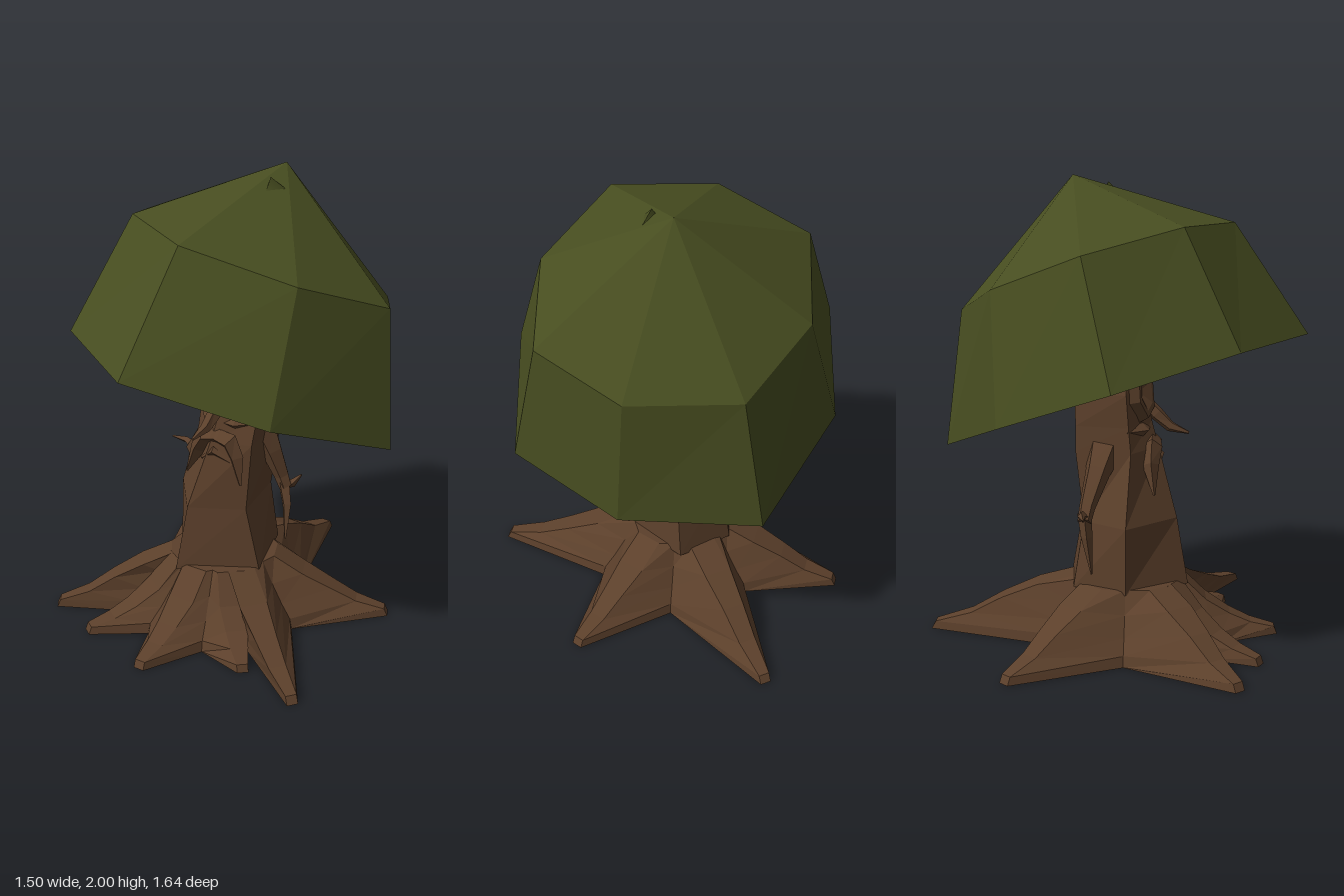
import * as THREE from 'three';

const bark = new THREE.MeshStandardMaterial({ color: 0x5c402b, side: THREE.DoubleSide });
bark.name = 'bark';
const leaf = new THREE.MeshStandardMaterial({ color: 0x474d20, side: THREE.DoubleSide });
leaf.name = 'leaf green';

const V = (x, y, z) => new THREE.Vector3(x, y, z);

// Faceted skin over a series of point rings; 'cap' closes the last ring
function loft(name, rings, material, cap = true) {
  const pos = [];
  const tri = (a, b, c) => pos.push(...a.toArray(), ...b.toArray(), ...c.toArray());
  const n = rings[0].length;
  for (let r = 0; r + 1 < rings.length; r++) {
    for (let i = 0; i < n; i++) {
      const j = (i + 1) % n;
      const [a, b, c, d] = [rings[r][i], rings[r][j], rings[r + 1][j], rings[r + 1][i]];
      tri(a, b, c);
      if (c.distanceTo(d) > 1e-5) tri(a, c, d);
    }
  }
  const last = rings[rings.length - 1];
  if (cap) for (let i = 1; i + 1 < n; i++) tri(last[0], last[i], last[i + 1]);
  const g = new THREE.BufferGeometry();
  g.setAttribute('position', new THREE.Float32BufferAttribute(pos, 3));
  g.computeVertexNormals();
  const mesh = new THREE.Mesh(g, material);
  mesh.name = name;
  return mesh;
}

// Tapered limb along points [x, y, z, radius]
function limb(name, path, sides = 5) {
  const p = path.map(q => V(q[0], q[1], q[2]));
  const rings = p.map((c, k) => {
    const t = p[Math.min(k + 1, p.length - 1)].clone().sub(p[Math.max(k - 1, 0)]).normalize();
    const ref = Math.abs(t.z) > 0.8 ? V(1, 0, 0) : V(0, 0, 1);
    const u = ref.cross(t).normalize();
    const v = t.clone().cross(u);
    return Array.from({ length: sides }, (_, i) => {
      const a = (i / sides) * Math.PI * 2;
      return c.clone().addScaledVector(u, Math.cos(a) * path[k][3]).addScaledVector(v, Math.sin(a) * path[k][3]);
    });
  });
  return loft(name, rings, bark);
}

// Star-shaped hollow root base: ridges run to the tips, valleys drop steeply between them
function rootBase() {
  const cx = -0.04, cz = 0.06, r0 = 0.235;
  // tip x, tip z, sag of the ridge; in order around the trunk
  const tips = [[-0.03, 0.72, 0.36], [0.35, 0.5, 0.45], [0.64, 0.575, 0.25], [0.64, -0.245, 0.2],
    [0, -0.82, 0], [-0.6, -0.44, 0.1], [-0.65, 0.515, 0.05], [-0.39, 0.62, 0.4]]
    .map(([x, z, sag]) => ({ a: Math.atan2(x - cx, z - cz), len: Math.hypot(x - cx, z - cz), sag }));
  // share of the way out, ridge height, ridge half width
  const steps = [[-1, 0.28, 0.02], [0, 0.28, 0.06], [0.25, 0.235, 0.062], [0.5, 0.165, 0.048],
    [0.72, 0.085, 0.038], [0.97, 0.035, 0.024], [1, 0, 0.024]];
  const rings = steps.map(([t, y, w]) => tips.flatMap((tip, i) => {
    const next = tips[(i + 1) % tips.length];
    const gap = (next.a - tip.a + Math.PI * 4) % (Math.PI * 2);
    const out = Math.max(t, 0);
    const r = Math.max(0.08, r0 + (tip.len - r0) * t);
    const ridgeY = y * (1 - tip.sag * Math.sin(out * Math.PI));
    const at = (a, radius, height, s) => V(
      cx + Math.sin(a) * radius + Math.cos(a) * s, height, cz + Math.cos(a) * radius - Math.sin(a) * s);
    const valley = gap < 0.8 ? 0.45 : 0.4;
    const vr = Math.max(0.08, r0 - 0.01 + (valley - r0) * Math.min(1, t * 1.3));
    return [at(tip.a, r, ridgeY, -w), at(tip.a, r, ridgeY, w), at(tip.a + gap / 2, vr, 0.28 * Math.pow(1 - out, 1.4), 0)];
  }));
  return loft('roots', rings.reverse(), bark, false);
}

// Angular eye socket: raised rim with a sunken centre, folded back to either side of the face
function eye(cx, cy, m) {
  const outline = [[0, 0.115], [-0.04, 0.07], [-0.05, -0.03], [-0.01, -0.1], [0.035, -0.065], [0.045, 0.05]];
  const ring = (s, z) => outline.map(([x, y]) => {
    const px = cx + m * x * s;
    return V(px, cy + y * s, z - Math.abs(px - 0.015) * 0.6 - y * s * 0.12);
  });
  return loft('eyeSocket', [ring(1.35, 0.14), ring(1.1, 0.19), ring(0.8, 0.19), ring(0.25, 0.165)], bark);
}

export function createModel() {
  const model = new THREE.Group();
  model.name = 'tree';
  const toV = ring => ring.map(p => V(...p));

  // Canopy: crooked open dome with eight sides
  const rim = [[0, 1.34, 0.82], [0.5, 1.16, 0.545], [0.75, 0.95, 0.03], [0.5, 0.845, -0.43],
    [0, 0.845, -0.73], [-0.5, 1.04, -0.46], [-0.75, 1.235, 0], [-0.5, 1.35, 0.5]];
  const shoulder = [[0.06, 1.805, 0.505], [0.47, 1.66, 0.31], [0.67, 1.505, -0.07], [0.47, 1.415, -0.44],
    [0.06, 1.43, -0.66], [-0.33, 1.57, -0.49], [-0.54, 1.73, -0.12], [-0.33, 1.82, 0.28]];
  const apex = Array.from({ length: 8 }, () => V(0.115, 2, -0.18));
  model.add(loft('canopy', [toV(rim), toV(shoulder), apex], leaf, false));

  // Small leaf tip poking through the crown
  const tip = new THREE.Mesh(new THREE.ConeGeometry(0.1, 0.1, 3), leaf);
  tip.name = 'leafTip';
  tip.position.set(0.14, 1.92, -0.03);
  tip.rotation.z = 0.15;
  model.add(tip);

  // Trunk and head: five-cornered rings, each a height and its x, z corners
  const trunk = [
    [0.26, [-0.12, 0.32], [0.2, 0.14], [0.09, -0.19], [-0.17, -0.175], [-0.28, 0.05]],
    [0.55, [-0.09, 0.27], [0.135, 0.15], [0.08, -0.14], [-0.15, -0.13], [-0.27, 0.05]],
    [0.85, [-0.02, 0.19], [0.15, 0.13], [0.11, -0.17], [-0.12, -0.165], [-0.165, 0.07]],
    [0.96, [0, 0.16], [0.155, 0.1], [0.12, -0.17], [-0.11, -0.165], [-0.155, 0.06]],
    [1.1, [0.01, 0.165], [0.195, 0.08], [0.13, -0.165], [-0.09, -0.17], [-0.15, 0.05]],
    [1.27, [0.03, 0.145], [0.175, 0.06], [0.13, -0.17], [-0.07, -0.18], [-0.09, 0.04]],
    [1.4, [0.045, 0.11], [0.165, 0.05], [0.13, -0.17], [-0.05, -0.19], [-0.06, 0.02]],
    [1.7, [0.07, 0.03], [0.13, 0], [0.11, -0.13], [0.01, -0.14], [0.01, -0.02]]];
  model.add(loft('trunk', trunk.map(([y, ...corners]) => corners.map(([x, z]) => V(x, y, z))), bark));
  model.add(rootBase());

  // Arms with thin twig fingers
  const rightArm = new THREE.Group();
  rightArm.name = 'rightArm';
  rightArm.add(
    limb('upperArm', [[-0.08, 0.86, -0.04, 0.08], [-0.19, 0.78, -0.07, 0.055], [-0.3, 0.66, -0.11, 0.035], [-0.34, 0.61, -0.12, 0.03]]),
    limb('longTwig', [[-0.32, 0.64, -0.12, 0.03], [-0.335, 0.54, -0.11, 0.024], [-0.34, 0.38, -0.09, 0.004]], 4),
    limb('shortTwig', [[-0.31, 0.62, -0.12, 0.03], [-0.38, 0.645, -0.13, 0.016], [-0.45, 0.65, -0.12, 0.004]], 4));
  const leftArm = new THREE.Group();
  leftArm.name = 'leftArm';
  leftArm.add(
    limb('upperArm', [[0.09, 0.87, -0.04, 0.07], [0.14, 0.76, -0.05, 0.05], [0.18, 0.64, -0.07, 0.035], [0.2, 0.59, -0.07, 0.03]]),
    limb('longTwig', [[0.19, 0.61, -0.07, 0.03], [0.225, 0.52, -0.04, 0.022], [0.25, 0.38, 0.01, 0.004]], 4),
    limb('shortTwig', [[0.18, 0.6, -0.07, 0.03], [0.225, 0.605, -0.09, 0.018], [0.25, 0.64, -0.12, 0.004]], 4));
  model.add(rightArm, leftArm);

  // Face: sockets, nose, cheek ledge and drooping moustache
  const face = new THREE.Group();
  face.name = 'face';
  face.add(eye(-0.07, 1.1, 1), eye(0.105, 1.13, -1));
  face.add(limb('nose', [[0.01, 1.04, 0.13, 0.03], [0, 0.99, 0.18, 0.032], [-0.01, 0.935, 0.24, 0.024], [-0.02, 0.91, 0.32, 0.006]]));
  face.add(limb('cheekLedge', [[-0.14, 0.94, 0.04, 0.025], [-0.07, 0.935, 0.12, 0.03], [0.07, 0.935, 0.13, 0.03], [0.14, 0.94, 0.08, 0.025]], 4));
  for (const m of [-1, 1]) {
    face.add(limb('moustache', [[-m * 0.02, 0.875, 0.165, 0.035], [m * 0.06, 0.86, 0.16, 0.045],
      [m * 0.1 - 0.01, 0.79, 0.155, 0.036], [m * 0.14 - 0.02, 0.67, 0.17, 0.005]], 4));
  }
  face.add(limb('lowerLip', [[-0.07, 0.76, 0.18, 0.008], [0, 0.815, 0.195, 0.02], [0.07, 0.77, 0.17, 0.008]], 4));
  model.add(face);

  return model;
}
